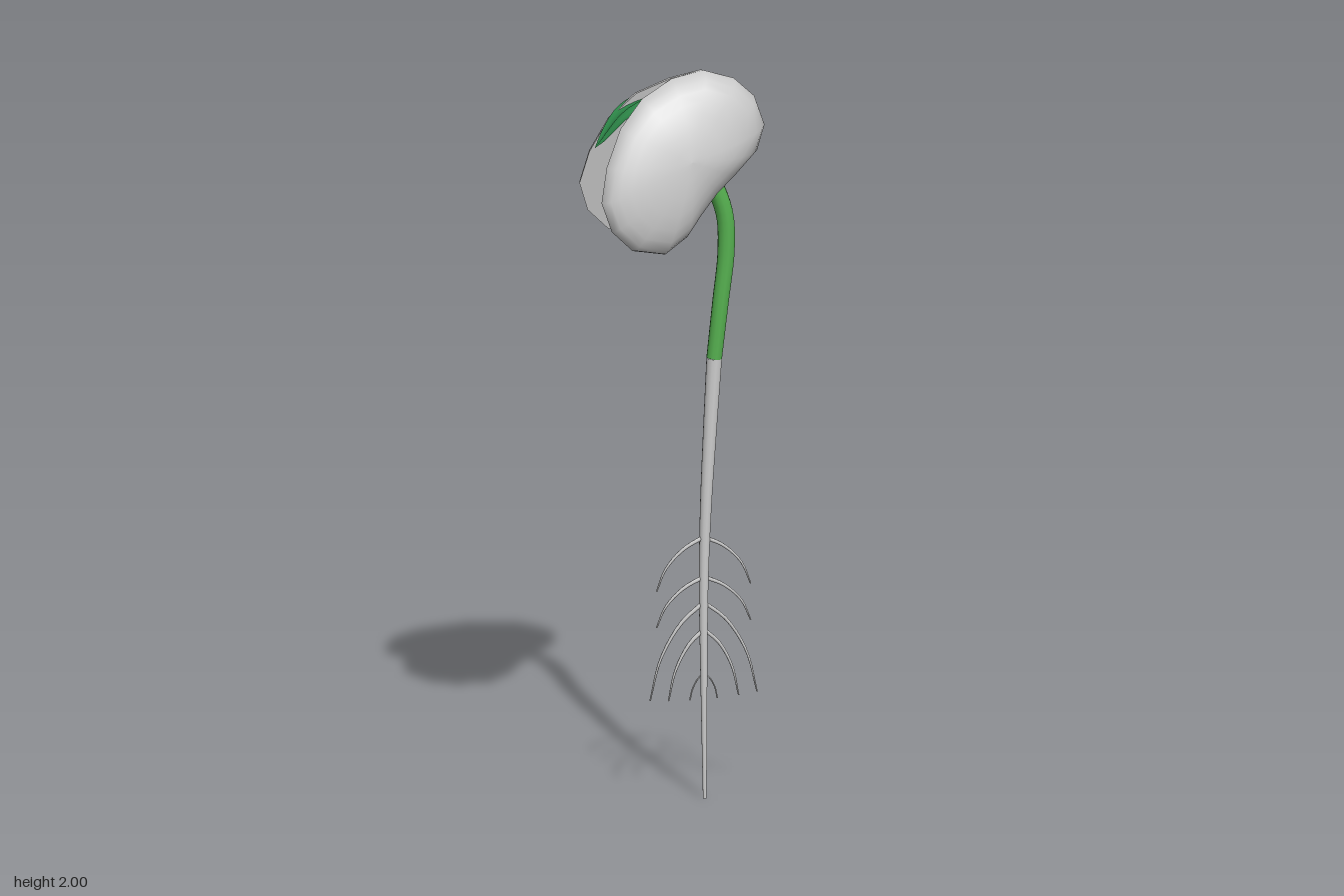
import * as THREE from 'three';

const mat = (color) => new THREE.MeshStandardMaterial({ color, side: THREE.DoubleSide });
const rootMat = mat(0xcccccc), stemMat = mat(0x55b04f), leafMat = mat(0x2e8b4a);
const curveOf = (pts) => new THREE.CatmullRomCurve3(pts.map((p) => new THREE.Vector3(...p)));

function addMesh(parent, name, geometry, material) {
  const mesh = new THREE.Mesh(geometry, material);
  mesh.name = name;
  parent.add(mesh);
}

// Tube whose radius runs from r0 to r1
function taperedTube(curve, segs, sides, r0, r1) {
  const g = new THREE.TubeGeometry(curve, segs, 1, sides);
  const pos = g.attributes.position, v = new THREE.Vector3();
  for (let i = 0; i <= segs; i++) {
    const c = curve.getPointAt(i / segs), r = r0 + (r1 - r0) * (i / segs);
    for (let j = 0; j <= sides; j++) {
      const k = i * (sides + 1) + j;
      v.fromBufferAttribute(pos, k).sub(c).multiplyScalar(r).add(c);
      pos.setXYZ(k, v.x, v.y, v.z);
    }
  }
  return g;
}

// Grid surface from rows of points
function gridSurface(rows, cols, point, closed, flip) {
  const pos = [], index = [];
  for (let i = 0; i < rows; i++) for (let j = 0; j < cols; j++) pos.push(...point(i, j));
  for (let i = 0; i < rows - 1; i++) {
    for (let j = 0; j < (closed ? cols : cols - 1); j++) {
      const a = i * cols + j, b = i * cols + ((j + 1) % cols), c = a + cols, d = b + cols;
      if (flip) index.push(a, c, b, b, c, d);
      else index.push(a, b, c, b, d, c);
    }
  }
  const g = new THREE.BufferGeometry();
  g.setAttribute('position', new THREE.Float32BufferAttribute(pos, 3));
  g.setIndex(index);
  g.computeVertexNormals();
  return g;
}

// Kidney outline of the seed, clockwise from the left end
const outline = [
  [-0.243, 1.693], [-0.222, 1.783], [-0.175, 1.878], [-0.106, 1.947], [-0.016, 1.986], [0.074, 2.0],
  [0.159, 1.97], [0.217, 1.915], [0.243, 1.841], [0.222, 1.772], [0.159, 1.72], [0.095, 1.672],
  [0.042, 1.619], [0, 1.571], [-0.069, 1.534], [-0.159, 1.556], [-0.217, 1.614],
];

// One face of a seed half: domed outside, flat inside; halves gape away from a diagonal hinge
function seedFace(side, domed) {
  const rings = 9, cx = 0, cy = 1.79;
  const point = (i, j) => {
    const a = (Math.PI / 2) * Math.max(i / (rings - 1), 0.0005);
    const s = Math.sin(a);
    const x = cx + (outline[j][0] - cx) * s, y = cy + (outline[j][1] - cy) * s;
    const gap = 0.185 * Math.max(0, 1.98 - x - y);
    const dome = domed ? (0.1 + 0.1 * x) * Math.cos(a) : 0;
    return [x, y, side * (gap + dome) - 0.05 * x - 0.004];
  };
  return gridSurface(rings, outline.length, point, true, (side > 0) !== domed);
}

// Creased leaf following a path in the xy plane, spread across z
function leafBlade(path, halfWidth, fold) {
  const rows = 15, cols = 9, curve = curveOf(path);
  return gridSurface(rows, cols, (i, j) => {
    const t = i / (rows - 1), u = (j / (cols - 1)) * 2 - 1;
    const p = curve.getPointAt(t), d = curve.getTangentAt(t);
    const w = halfWidth * Math.pow(Math.max(0, Math.sin(Math.PI * Math.pow(t, 1.3))), 0.75);
    const lift = fold * w * Math.sin(Math.PI * Math.abs(u));
    return [p.x - d.y * lift, p.y + d.x * lift, p.z + u * w];
  }, false, true);
}

export function createModel() {
  const model = new THREE.Group();
  model.name = 'seedling';

  // Main root and green stem
  const taproot = curveOf([[0.07, 0, 0.018], [0.068, 0.3, 0.017], [0.068, 0.6, 0.015],
    [0.074, 0.8, 0.014], [0.085, 1.0, 0.013], [0.098, 1.21, 0.012]]);
  addMesh(model, 'taproot', taperedTube(taproot, 30, 12, 0.005, 0.021), rootMat);
  const stem = curveOf([[0.098, 1.21, 0.012], [0.115, 1.36, 0.012], [0.131, 1.5, 0.011],
    [0.128, 1.6, 0.01], [0.102, 1.68, 0.008], [0.06, 1.76, 0.004]]);
  addMesh(model, 'stem', taperedTube(stem, 24, 12, 0.021, 0.025), stemMat);

  // Side roots in mirrored pairs: [start height, reach, end height]
  const sideRoots = new THREE.Group();
  sideRoots.name = 'sideRoots';
  model.add(sideRoots);
  const pairs = [[0.72, 0.13, 0.58], [0.61, 0.13, 0.48], [0.54, 0.148, 0.28], [0.465, 0.097, 0.275], [0.345, 0.038, 0.272]];
  pairs.forEach(([y0, reach, y1], i) => {
    for (const side of [-1, 1]) {
      const drop = y0 - y1, x0 = 0.068;
      const curve = curveOf([[x0, y0, 0.016], [x0 + side * reach * 0.42, y0 - drop * 0.2, 0.016],
        [x0 + side * reach * 0.8, y0 - drop * 0.56, 0.015], [x0 + side * reach, y1, 0.014]]);
      const r = i === 4 ? 0.002 : 0.006;
      addMesh(sideRoots, 'sideRoot', taperedTube(curve, 12, 6, r, 0.002), rootMat);
    }
  });

  // Two seed halves
  for (const side of [1, -1]) {
    const half = new THREE.Group();
    half.name = side > 0 ? 'frontSeedHalf' : 'backSeedHalf';
    addMesh(half, 'outerFace', seedFace(side, true), rootMat);
    addMesh(half, 'innerFace', seedFace(side, false), rootMat);
    model.add(half);
  }

  // First pair of leaves between the halves
  addMesh(model, 'upperLeaf', leafBlade([[0.1, 1.9, 0], [-0.02, 1.95, 0], [-0.14, 1.915, 0.002], [-0.23, 1.815, 0.004]], 0.055, 0.15), leafMat);
  addMesh(model, 'lowerLeaf', leafBlade([[0.2, 1.79, -0.008], [0.1, 1.72, -0.002], [0, 1.635, 0], [-0.12, 1.575, 0.004]], 0.065, -0.15), leafMat);

  return model;
}
